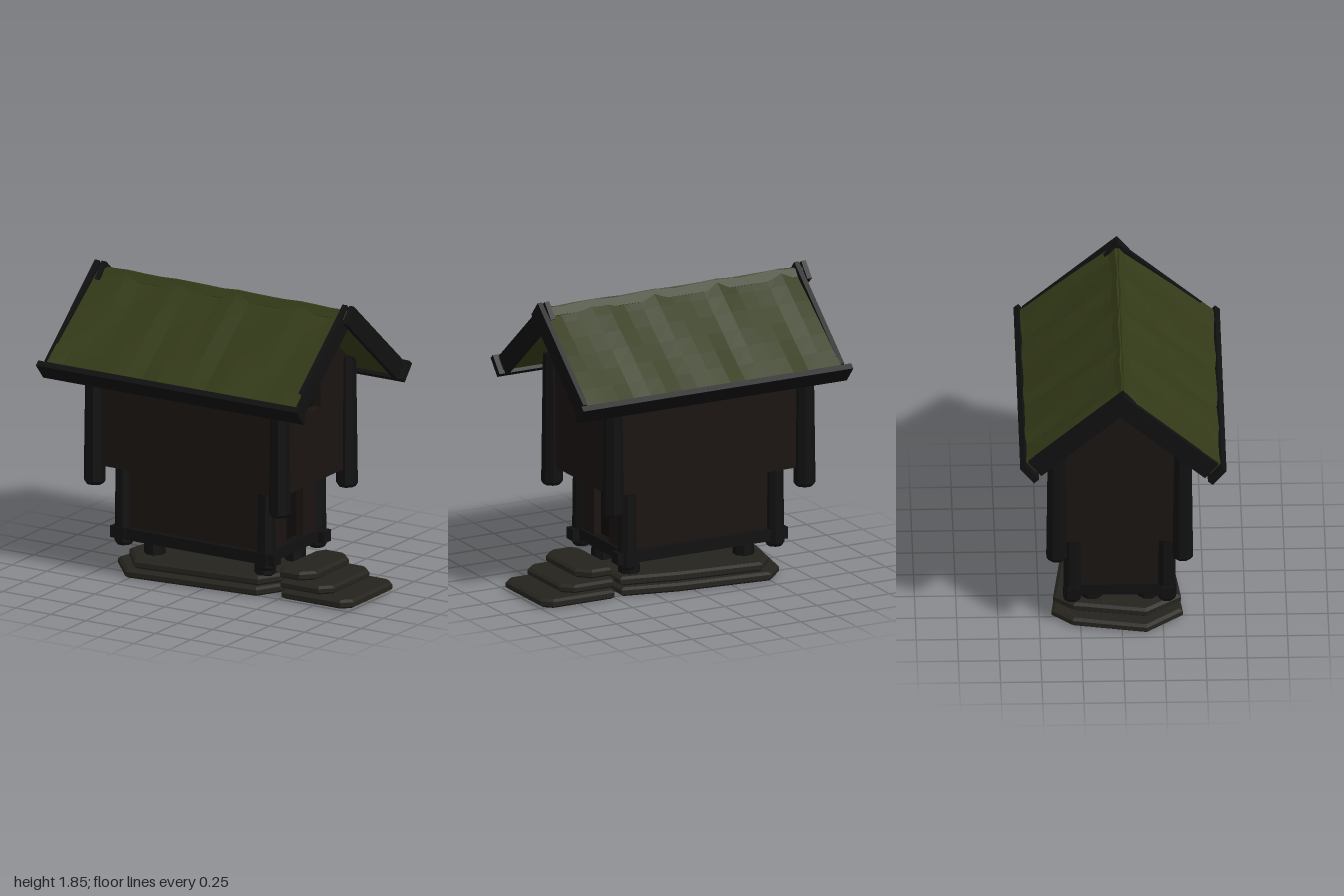
import * as THREE from 'three';

const mat = (color) => new THREE.MeshStandardMaterial({ color, flatShading: true });
const wallMat = mat(0x1a1411), beamMat = mat(0x101011), sodMat = mat(0x333a18);
const stoneMat = mat(0x25231e), darkMat = mat(0x0c0a09);

const PITCH = 0.709, APEX = 1.855; // roof angle and top of the ridge

export function createModel() {
  const model = new THREE.Group();

  const add = (parent, name, geo, material) => {
    const m = new THREE.Mesh(geo, material);
    m.name = name;
    parent.add(m);
    return m;
  };
  // Box given by its limits on each axis
  const box = (parent, name, [x0, x1], [y0, y1], [z0, z1], material) => {
    const geo = new THREE.BoxGeometry(x1 - x0, y1 - y0, z1 - z0);
    geo.translate((x0 + x1) / 2, (y0 + y1) / 2, (z0 + z1) / 2);
    return add(parent, name, geo, material);
  };
  // Eight-sided tapering post with a chamfered foot
  const post = (name, x, z, y0, y1, r0, r1) => {
    const k = 1 / Math.cos(Math.PI / 8);
    const profile = [[0, y0], [r0 * 0.8, y0], [r0, y0 + 0.02], [r1, y1], [0, y1]]
      .map(([r, y]) => new THREE.Vector2(r * k, y));
    const m = add(model, name, new THREE.LatheGeometry(profile, 8, Math.PI / 8), beamMat);
    m.position.set(x, 0, z);
  };
  // Flat irregular stone with bevelled rim; outline in x, z
  const slab = (name, outline, y0, y1) => {
    const shape = new THREE.Shape(outline.map(([x, z]) => new THREE.Vector2(x, -z)));
    const b = 0.014;
    const geo = new THREE.ExtrudeGeometry(shape, {
      depth: y1 - y0 - 2 * b, bevelThickness: b, bevelSize: 0.02, bevelOffset: -0.02, bevelSegments: 1,
    });
    geo.rotateX(-Math.PI / 2).translate(0, y0 + b, 0);
    add(model, name, geo, stoneMat);
  };
  // End wall at x, outline and opening in z, y
  const endWall = (name, x, outline, opening) => {
    const toPoints = (pts) => pts.map(([z, y]) => new THREE.Vector2(-z, y));
    const shape = new THREE.Shape(toPoints(outline));
    if (opening) {
      const [z0, z1, y0, y1] = opening;
      shape.holes.push(new THREE.Path(toPoints([[z0, y0], [z0, y1], [z1, y1], [z1, y0]])));
    }
    const geo = new THREE.ExtrudeGeometry(shape, { depth: 0.06, bevelEnabled: false });
    geo.rotateY(Math.PI / 2).translate(x, 0, 0);
    add(model, name, geo, wallMat);
  };

  // Foundation stones
  const base = [[0.455, -0.28], [0.1, -0.36], [-0.5, -0.425], [-0.62, -0.3], [-0.71, 0.15], [-0.52, 0.37], [0.36, 0.28], [0.45, 0.12]];
  slab('lowerFoundationStone', base, 0.005, 0.06);
  slab('upperFoundationStone', base.map(([x, z]) => [x < 0 ? x * 0.89 : x + 0.005, z * 0.975]), 0.07, 0.127);

  // Entrance steps
  const step = (x0, x1, z0, z1, c) => [[x0, z0 + c], [x0 + c / 2, z0], [x1 - c, z0], [x1, z0 + c], [x1, z1 - c], [x1 - c, z1], [x0 + c / 2, z1], [x0, z1 - c]];
  slab('bottomStep', step(0.49, 1.0, -0.31, 0.25, 0.06), 0.01, 0.065);
  slab('middleStep', step(0.48, 0.855, -0.29, 0.25, 0.07), 0.075, 0.127);
  slab('topStep', step(0.475, 0.73, -0.265, 0.255, 0.08), 0.142, 0.197);

  // Short feet between foundation and sills
  for (const x of [-0.44, 0.35])
    for (const z of [0.16, -0.18]) post('foot', x, z, 0.11, 0.26, 0.062, 0.058);

  // Lower storey: sills with projecting ends, posts, walls
  for (const z of [0.275, -0.295]) box(model, 'longSill', [-0.665, 0.51], [0.228, 0.3], [z - 0.04, z + 0.04], beamMat);
  for (const x of [-0.59, 0.43]) {
    box(model, 'crossSill', [x - 0.035, x + 0.035], [0.235, 0.305], [-0.35, 0.33], beamMat);
    for (const z of [0.272, -0.302]) post('lowerPost', x, z, 0.19, 0.71, 0.054, 0.048);
  }
  for (const z of [0.24, -0.3]) box(model, 'lowerLongWall', [-0.59, 0.43], [0.25, 0.7], [z, z + 0.04], wallMat);
  box(model, 'lowerFloor', [-0.57, 0.41], [0.235, 0.275], [-0.28, 0.26], wallMat);
  const lowerOutline = [[0.27, 0.25], [-0.29, 0.25], [-0.29, 0.7], [0.27, 0.7]];
  endWall('lowerDoorWall', 0.39, lowerOutline, [0.08, -0.11, 0.3, 0.65]);
  endWall('lowerEndWall', -0.61, lowerOutline);
  box(model, 'door', [0.38, 0.4], [0.29, 0.66], [-0.12, 0.09], darkMat);

  // Upper storey: overhanging floor, walls with gables, hanging corner posts
  box(model, 'upperFloor', [-0.74, 0.58], [0.69, 0.74], [-0.39, 0.36], wallMat);
  for (const z of [0.32, -0.4]) box(model, 'upperLongWall', [-0.74, 0.58], [0.69, 1.42], [z, z + 0.05], wallMat);
  const gable = [[0.365, 0.69], [-0.395, 0.69], [-0.395, 1.41], [0, 1.735], [0.365, 1.42]];
  endWall('windowGable', 0.53, gable, [0.05, -0.085, 1.15, 1.42]);
  endWall('plainGable', -0.75, gable);
  box(model, 'windowPane', [0.515, 0.535], [1.14, 1.43], [-0.095, 0.06], darkMat);
  for (const x of [-0.742, 0.582])
    for (const z of [0.365, -0.4]) post('cornerPost', x, z, 0.572, 1.4, 0.062, 0.052);

  // One roof slope; x limits are in model space, side +1 front, -1 back
  const slope = (side, sod, barges, eave) => {
    const turn = new THREE.Group();
    turn.name = side > 0 ? 'frontRoof' : 'backRoof';
    const g = new THREE.Group();
    g.position.y = APEX;
    g.rotation.x = PITCH;
    turn.rotation.y = side > 0 ? 0 : Math.PI;
    turn.add(g);
    model.add(turn);
    const span = ([a, b]) => (side > 0 ? [a, b] : [-b, -a]);

    // Gently uneven turf, thicker toward the eave
    const [x0, x1] = span(sod);
    const geo = new THREE.BoxGeometry(x1 - x0, 0.06, 0.76, 16, 1, 6);
    geo.translate((x0 + x1) / 2, -0.062, 0.395);
    const p = geo.attributes.position;
    for (let i = 0; i < p.count; i++) {
      if (p.getY(i) < -0.06) continue;
      const x = p.getX(i) * side, z = p.getZ(i);
      p.setY(i, p.getY(i) + 0.04 * z + 0.006 * Math.sin(x * 15 + z * 4) + 0.003 * Math.sin(x * 31));
      if (z > 0.7) p.setZ(i, z + 0.005 * Math.sin(x * 13));
    }
    add(g, 'turf', geo, sodMat);

    // Gable boards crossing at the ridge, and the board holding the turf
    for (const x of barges) box(g, 'bargeBoard', span([x, x + 0.032]), [-0.122, 0], [0, 0.757], beamMat);
    box(g, 'eaveBoard', span(eave), [-0.115, 0.015], [0.772, 0.81], beamMat);
  };
  slope(1, [-0.945, 0.832], [-0.97, 0.802], [-1, 0.865]);
  slope(-1, [-0.895, 0.855], [-0.922, 0.85], [-0.957, 0.907]);

  return model;
}
